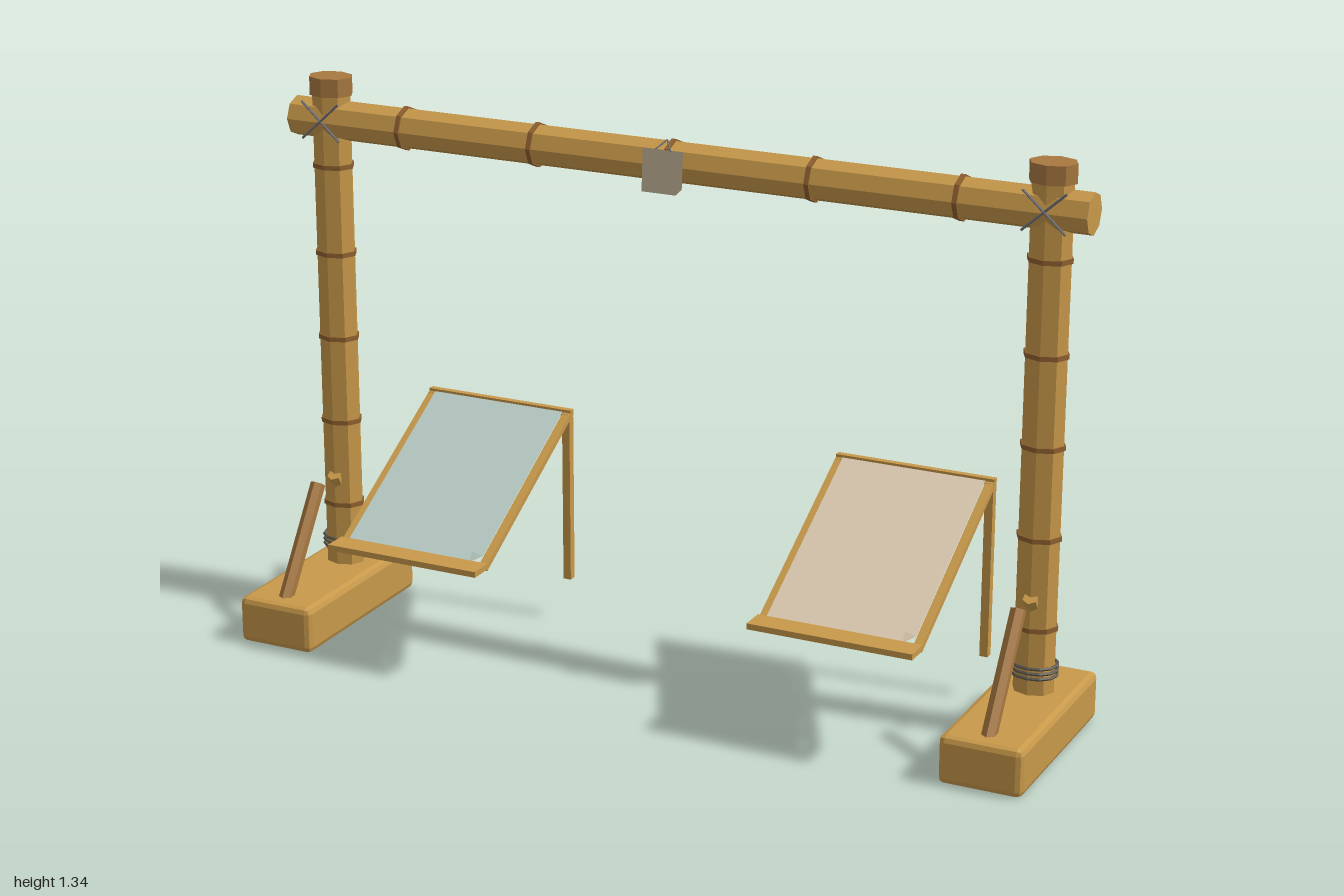
import * as THREE from 'three';
import { RoundedBoxGeometry } from 'three/addons/geometries/RoundedBoxGeometry.js';

export function createModel() {
  const model = new THREE.Group();
  model.name = 'bambooFrame';

  const material = (name, color, options = {}) => {
    const m = new THREE.MeshStandardMaterial({ color, flatShading: true, ...options });
    m.name = name;
    return m;
  };
  const bamboo = material('bamboo', 0xc8994a);
  const darkBamboo = material('darkBamboo', 0xa87840);
  const nodeBrown = material('nodeBrown', 0x8f6030);
  const rope = material('rope', 0x625c50);
  const cord = material('cord', 0x73747a);
  const paleGreen = material('paleGreen', 0xb9ccc5, { side: THREE.DoubleSide });
  const paleTan = material('paleTan', 0xdccab0, { side: THREE.DoubleSide });
  const signTan = material('signTan', 0xcbbb9f, { side: THREE.DoubleSide });

  const add = (parent, name, geometry, mat, x = 0, y = 0, z = 0) => {
    const mesh = new THREE.Mesh(geometry, mat);
    mesh.name = name;
    mesh.position.set(x, y, z);
    parent.add(mesh);
    return mesh;
  };
  const group = (name, x = 0, y = 0, z = 0) => {
    const g = new THREE.Group();
    g.name = name;
    g.position.set(x, y, z);
    model.add(g);
    return g;
  };
  // Straight rod between two points
  const rod = (parent, name, a, b, radius, sides, mat) => {
    const from = new THREE.Vector3(...a), to = new THREE.Vector3(...b);
    const dir = to.clone().sub(from);
    const mesh = add(parent, name, new THREE.CylinderGeometry(radius, radius, dir.length(), sides), mat);
    mesh.position.copy(from).add(to).multiplyScalar(0.5);
    mesh.quaternion.setFromUnitVectors(new THREE.Vector3(0, 1, 0), dir.normalize());
    return mesh;
  };

  const POST_Z = -0.082, BEAM_Y = 1.23;

  // Feet, posts, braces and lashings on both sides
  for (const side of [-1, 1]) {
    const g = group(side > 0 ? 'leftSupport' : 'rightSupport', side * 0.9);
    add(g, 'foot', new RoundedBoxGeometry(0.196, 0.115, 0.494, 1, 0.015), bamboo, 0, 0.0575, 0.002);

    // Slightly flattened octagonal post
    const postGroup = new THREE.Group();
    postGroup.name = 'post';
    postGroup.position.z = POST_Z;
    postGroup.scale.z = 0.84;
    g.add(postGroup);
    add(postGroup, 'postStem', new THREE.CylinderGeometry(0.049, 0.049, 1.2, 8), bamboo, 0, 0.7, 0);
    add(postGroup, 'postCap', new THREE.CylinderGeometry(0.055, 0.055, 0.044, 8), darkBamboo, 0, 1.313, 0);
    for (const y of [0.27, 0.483, 0.695, 0.905, 1.12]) {
      add(postGroup, 'postNode', new THREE.CylinderGeometry(0.053, 0.053, 0.011, 8), nodeBrown, 0, y, 0);
    }
    for (const y of [0.157, 0.169, 0.181]) {
      const coil = add(postGroup, 'ropeCoil', new THREE.TorusGeometry(0.054, 0.004, 5, 12), rope, 0, y, 0);
      coil.rotation.x = Math.PI / 2;
    }

    // Sloping braces in front of and behind the post
    rod(g, 'frontBrace', [0, 0.1, 0.2], [0, 0.35, 0.035], 0.018, 6, darkBamboo);
    rod(g, 'backBrace', [0, 0.1, -0.205], [0, 0.35, -0.04], 0.018, 6, bamboo);

    // Crossed cord at the joint
    for (const s of [-1, 1]) {
      rod(g, 'crossLashing', [-0.05 * s, 1.19, -0.03], [0.05 * s, 1.28, -0.03], 0.003, 5, cord);
    }
  }

  // Horizontal beam with nodes
  const beamGroup = group('crossbeam', 0, BEAM_Y, POST_Z);
  const beam = add(beamGroup, 'beam', new THREE.CylinderGeometry(0.048, 0.048, 1.99, 8), bamboo);
  beam.rotation.z = Math.PI / 2;
  for (const x of [-0.695, -0.347, 0, 0.347, 0.695]) {
    const node = add(beamGroup, 'beamNode', new THREE.CylinderGeometry(0.053, 0.053, 0.011, 8), nodeBrown, x);
    node.rotation.z = Math.PI / 2;
  }

  // Flat outline with one clipped corner at lower right
  const clippedPlate = (w, h, clip) => new THREE.ShapeGeometry(new THREE.Shape([
    [-w / 2, 0], [w / 2 - clip, 0], [w / 2, clip], [w / 2, h], [-w / 2, h],
  ].map(([x, y]) => new THREE.Vector2(x, y))));

  // Hanging plaque and its string
  const plaque = group('hangingPlaque', 0, 1.17, -0.019);
  add(plaque, 'plaqueSheet', clippedPlate(0.1, 0.1, 0.015), signTan).rotation.x = -0.07;
  for (const s of [-1, 1]) {
    rod(plaque, 'plaqueString', [s * 0.02, 0.098, -0.007], [0, 0.118, -0.03], 0.002, 5, cord);
  }

  // Sloping display racks
  const SLOPE = Math.atan2(0.25, 0.43), LENGTH = Math.hypot(0.25, 0.43);
  const rack = (name, x, sheetMaterial) => {
    const g = group(name, x);
    for (const s of [-1, 1]) {
      const leg = new THREE.BoxGeometry(0.02, 0.425, 0.02);
      add(g, 'rackLeg', leg, bamboo, s * 0.185, 0.3175, -0.235);
      const rail = add(g, 'sideRail', new THREE.BoxGeometry(0.02, 0.014, LENGTH), bamboo, s * 0.185, 0.405, -0.025);
      rail.rotation.x = SLOPE;
    }
    add(g, 'topRail', new THREE.BoxGeometry(0.39, 0.016, 0.016), bamboo, 0, 0.531, -0.238);
    add(g, 'frontLedge', new THREE.BoxGeometry(0.395, 0.014, 0.06), bamboo, 0, 0.287, 0.22);

    // Sheet laid on the slope with its corner folded up
    const tilt = new THREE.Group();
    tilt.name = 'sheet';
    tilt.position.set(-0.002, 0.289, 0.19);
    tilt.rotation.x = SLOPE - Math.PI / 2;
    g.add(tilt);
    add(tilt, 'sheetSurface', clippedPlate(0.352, LENGTH, 0.025), sheetMaterial);
    const fold = new THREE.BufferGeometry();
    fold.setAttribute('position', new THREE.Float32BufferAttribute(
      [0.151, 0, 0, 0.176, 0.025, 0, 0.153, 0.022, 0.014], 3));
    fold.computeVertexNormals();
    add(tilt, 'foldedCorner', fold, sheetMaterial);
  };
  rack('rightRack', -0.543, paleGreen);
  rack('leftRack', 0.541, paleTan);

  return model;
}
